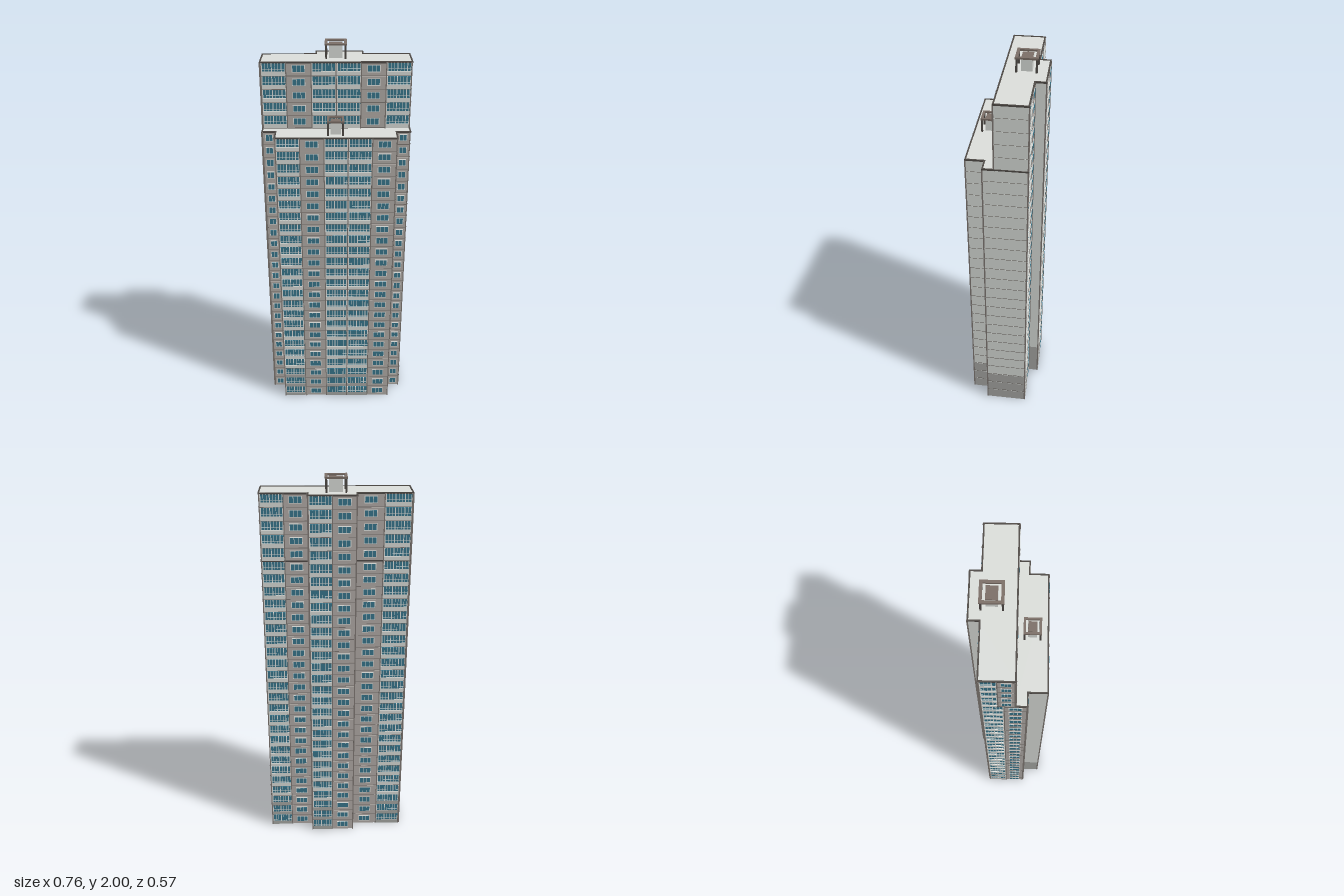
import * as THREE from 'three';
import { mergeGeometries } from 'three/addons/utils/BufferGeometryUtils.js';

const STOREY = 0.0664;
const LOW = 24 * STOREY;    // roof of the front slab
const HIGH = 29 * STOREY;   // roof of the back slab
const BASE = 3 * STOREY;    // darker lowest storeys

export function createModel() {
  const model = new THREE.Group();
  const tower = new THREE.Group();
  tower.name = 'tower';
  tower.rotation.y = -0.44;
  model.add(tower);

  const colours = {
    lightWall: 0xdde0dc, baseWall: 0xa9aaa7, greyPanel: 0xb5afaa, joint: 0x827b76,
    darkTrim: 0x514c48, glass: 0x38788f, whiteFrame: 0xe6e8e5, roofCap: 0x7d7068,
  };
  const mats = {};
  for (const [name, color] of Object.entries(colours)) {
    mats[name] = new THREE.MeshStandardMaterial({ color });
    mats[name].name = name;
  }

  // Boxes collected by part name and colour, merged at the end
  const bins = {};
  const put = (part, mat, geometry) => {
    const key = part + '|' + mat;
    (bins[key] ??= []).push(geometry);
  };
  const box = (part, mat, w, h, d, x, y, z, frame) => {
    const g = new THREE.BoxGeometry(w, h, d).translate(x, y, z);
    if (frame) g.applyMatrix4(frame);
    put(part, mat, g);
  };
  const wallFrame = (x, z, angle) =>
    new THREE.Matrix4().makeRotationY(angle).setPosition(x, 0, z);

  // Solid block over a plan outline
  const block = (part, mat, plan, y0, y1) => {
    const shape = new THREE.Shape(plan.map(([x, z]) => new THREE.Vector2(x, -z)));
    const g = new THREE.ExtrudeGeometry(shape, { depth: y1 - y0, bevelEnabled: false });
    g.rotateX(-Math.PI / 2).translate(0, y0, 0);
    put(part, mat, g);
  };
  // Dark coping along the edges of a plan outline
  const coping = (plan, y, h, closed = true) => {
    plan.forEach(([x, z], i) => {
      if (!closed && i === plan.length - 1) return;
      const [x2, z2] = plan[(i + 1) % plan.length];
      const frame = wallFrame((x + x2) / 2, (z + z2) / 2, -Math.atan2(z2 - z, x2 - x));
      box('coping', 'darkTrim', Math.hypot(x2 - x, z2 - z) + 0.007, h, 0.007, 0, y, 0, frame);
    });
  };

  // Plan outlines: back slab with its projecting bay, front slab with stepped ends
  const L = -0.379, R = 0.354;
  const back = [[L, 0.026], [R, 0.026], [R, -0.13], [0.121, -0.13], [0.121, -0.182],
    [-0.112, -0.182], [-0.112, -0.13], [L, -0.13]];
  const front = [[L, 0.026], [L, 0.08], [-0.312, 0.08], [-0.312, 0.171], [0.284, 0.171],
    [0.284, 0.08], [R, 0.08], [R, 0.026]];
  block('backSlab', 'lightWall', back, BASE, HIGH);
  block('frontSlab', 'lightWall', front, BASE, LOW);
  block('baseBack', 'baseWall', back, 0, BASE);
  block('baseFront', 'baseWall', front, 0, BASE);
  coping(back, HIGH - 0.001, 0.008);
  coping(front, LOW - 0.001, 0.008);
  coping([[R, 0.026], [R, -0.13], [0.121, -0.13]], LOW, 0.007, false);
  coping([[-0.112, -0.13], [L, -0.13], [L, 0.026]], LOW, 0.007, false);

  // One storey of a glazed loggia: parapet, glass band and mullions
  const loggia = (f, c, w, y) => {
    const gw = w - 0.007, gh = 0.041, gy = y + 0.0435;
    box('parapets', y < BASE - 0.01 ? 'baseWall' : 'lightWall', gw, 0.021, 0.006, c, y + 0.0125, 0.003, f);
    box('loggiaGlass', 'glass', gw, gh, 0.003, c, gy, 0.0015, f);
    const n = Math.max(3, Math.round(gw / 0.0165));
    for (let i = 0; i <= n; i++) {
      box('mullions', 'whiteFrame', i % 3 ? 0.0022 : 0.0045, gh, 0.004,
        c - gw / 2 + 0.002 + (i / n) * (gw - 0.004), gy, 0.002, f);
    }
    box('transoms', 'whiteFrame', gw, 0.002, 0.004, c, y + 0.034, 0.002, f);
  };
  // One storey of a grey panel with a framed window
  const panelWindow = (f, c, w, y) => {
    const ww = Math.min(0.064, w * 0.6), n = w > 0.07 ? 3 : 2;
    box('facadePanels', 'greyPanel', w - 0.005, STOREY - 0.004, 0.003, c, y + STOREY / 2, 0.0015, f);
    box('windowFrames', 'whiteFrame', ww, 0.036, 0.003, c, y + 0.036, 0.0035, f);
    const step = (ww - 0.004) / n;
    for (let i = 0; i < n; i++) {
      box('windowPanes', 'glass', step - 0.0025, 0.03, 0.002,
        c + (i - (n - 1) / 2) * step, y + 0.036, 0.0045, f);
    }
  };
  // Columns of storeys, G = glazed loggia, W = window panel
  const facade = (f, start, width, pattern, from, to) => {
    const w = width / pattern.length;
    const h = (to - from) * STOREY, mid = (from + to) / 2 * STOREY;
    [...pattern].forEach((kind, i) => {
      const c = start + (i + 0.5) * w;
      for (let s = from; s < to; s++) (kind === 'G' ? loggia : panelWindow)(f, c, w, s * STOREY);
    });
    for (let i = 0; i <= pattern.length; i++) {
      box('pilasters', 'joint', 0.005, h, 0.007, start + i * w, mid, 0.002, f);
    }
    for (let s = from + 1; s < to; s++) {
      box('floorJoints', 'joint', width, 0.003, 0.003, start + width / 2, s * STOREY, 0.0015, f);
    }
  };

  // Front faces
  facade(wallFrame(0, 0.171, 0), -0.31, 0.592, 'GWGGW', 0, 24);
  facade(wallFrame(0, 0.026, 0), L + 0.002, R - L - 0.004, 'GWGGWG', 24, 29);
  facade(wallFrame(0, 0.08, 0), L + 0.002, 0.063, 'W', 0, 24);
  facade(wallFrame(0, 0.08, 0), 0.287, 0.065, 'W', 0, 24);
  // Back faces, read from the +x end
  facade(wallFrame(0, -0.13, Math.PI), -R + 0.002, 0.229, 'GW', 0, 29);
  facade(wallFrame(0, -0.182, Math.PI), -0.119, 0.229, 'GW', 0, 29);
  facade(wallFrame(0, -0.13, Math.PI), 0.114, 0.263, 'WG', 0, 29);
  // Windowed end
  const end = wallFrame(L, 0, -Math.PI / 2);
  facade(end, -0.128, 0.206, 'GW', 0, 24);
  facade(end, -0.128, 0.152, 'GW', 24, 29);

  // Blank end walls: a thin ledge with dark upper and lower faces at every floor
  const ledges = (x, z0, z1, from, to) => {
    for (let s = from; s < to; s++) {
      const y = s * STOREY, zc = (z0 + z1) / 2;
      box('ledges', 'lightWall', 0.003, 0.003, z1 - z0, x + 0.0015, y, zc);
      for (const side of [-1, 1]) {
        const face = new THREE.PlaneGeometry(0.003, z1 - z0).rotateX(-side * Math.PI / 2);
        put('ledgeFaces', 'darkTrim', face.translate(x + 0.0015, y + side * 0.0017, zc));
      }
    }
  };
  ledges(R, -0.13, 0.08, 1, 24);
  ledges(R, -0.13, 0.026, 25, 29);
  ledges(0.284, 0.08, 0.171, 1, 24);

  // Rooftop lift housing inside an open frame on four posts
  const housing = (x, z, side, coreW, coreD, y, h) => {
    const bar = side * 0.13, r = (side - bar) / 2;
    box('liftHousing', 'lightWall', coreW, h - 0.012, coreD, x, y + (h - 0.012) / 2, z);
    box('housingCap', 'roofCap', coreW, 0.004, coreD, x, y + h - 0.01, z);
    for (const s of [-1, 1]) {
      box('roofFrame', 'roofCap', side, 0.009, bar, x, y + h - 0.0045, z + s * r);
      box('roofFrame', 'roofCap', bar, 0.009, side - 2 * bar, x + s * r, y + h - 0.0045, z);
      for (const t of [-1, 1]) {
        box('framePosts', 'darkTrim', 0.009, h - 0.009, 0.009, x + s * r, y + (h - 0.009) / 2, z + t * r);
      }
    }
  };
  housing(-0.014, -0.082, 0.108, 0.066, 0.053, HIGH, 2 - HIGH);
  housing(-0.016, 0.097, 0.084, 0.052, 0.042, LOW, 0.073);

  // One mesh for each part and colour
  for (const [key, list] of Object.entries(bins)) {
    const [part, mat] = key.split('|');
    const mesh = new THREE.Mesh(mergeGeometries(list), mats[mat]);
    mesh.name = part;
    tower.add(mesh);
  }
  return model;
}
